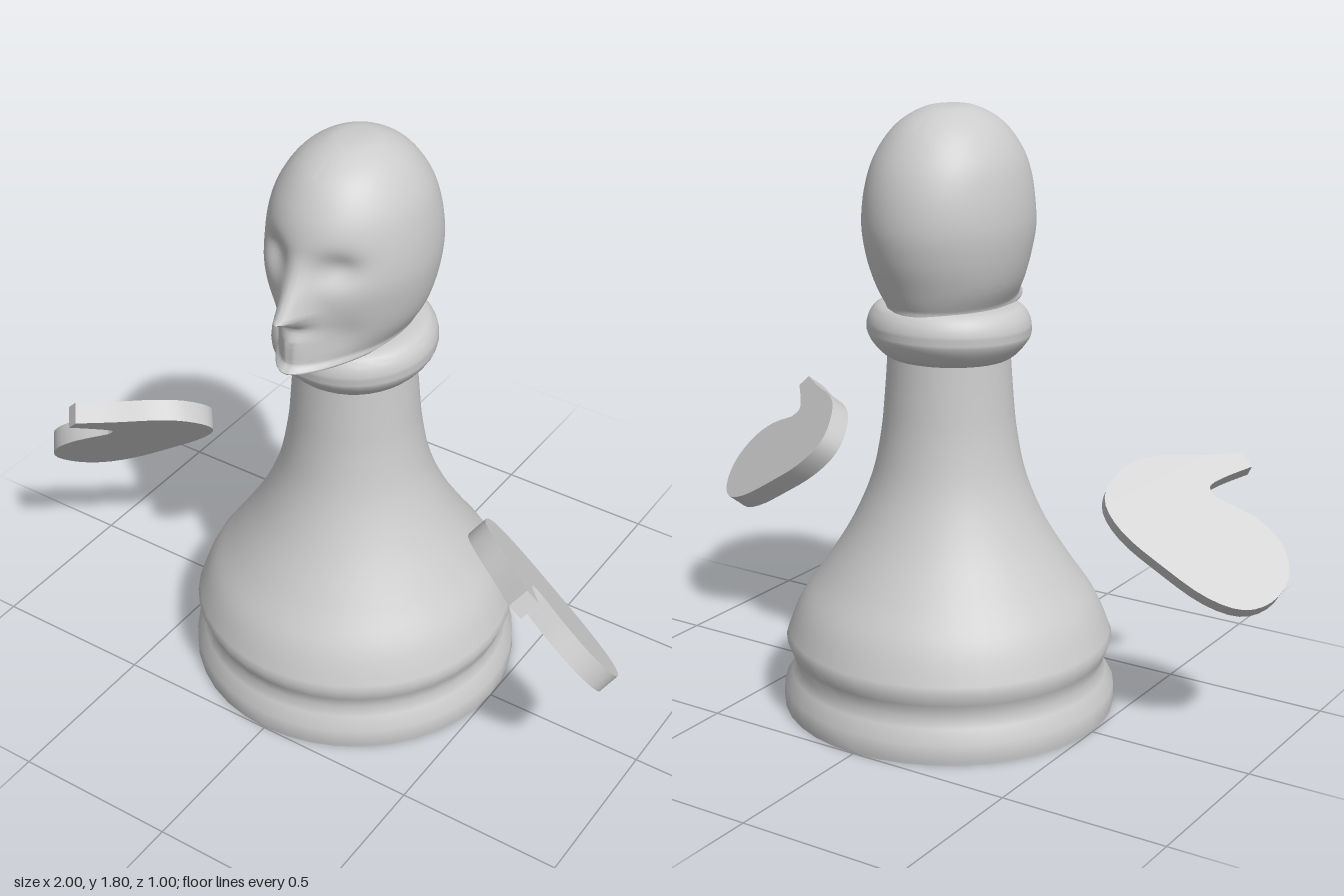
import * as THREE from 'three';
import { toCreasedNormals } from 'three/addons/utils/BufferGeometryUtils.js';

const material = new THREE.MeshStandardMaterial({ color: 0xcccccc, roughness: 0.8 });

function part(name, geometry, crease) {
  const mesh = new THREE.Mesh(toCreasedNormals(geometry, crease), material);
  mesh.name = name;
  return mesh;
}

const points2 = (list) => list.map(([x, y]) => new THREE.Vector2(x, y));

// Flared pawn body with a stepped foot
function makeBody() {
  const flare = new THREE.SplineCurve(points2([
    [0.49, 0.21], [0.445, 0.32], [0.37, 0.43], [0.29, 0.56], [0.23, 0.7], [0.2, 0.84], [0.187, 0.97], [0.178, 1.1],
  ])).getPoints(28);
  const foot = points2([[0, 0], [0.498, 0], [0.5, 0.01], [0.498, 0.06], [0.475, 0.1], [0.462, 0.13], [0.475, 0.17]]);
  return part('body', new THREE.LatheGeometry([...foot, ...flare], 40), 0.9);
}

// Rounded neck ring, tipped slightly forward
function makeCollar() {
  const rim = new THREE.SplineCurve(points2([
    [0.17, -0.085], [0.2, -0.065], [0.232, -0.025], [0.24, 0.01], [0.228, 0.05], [0.195, 0.075], [0.1, 0.078], [0, 0.078],
  ])).getPoints(28);
  const collar = part('collar', new THREE.LatheGeometry(rim, 40), 0.9);
  collar.position.y = 1.15;
  collar.rotation.x = 0.04;
  return collar;
}

// Depth added to the front of the head: nose, eye sockets, cheeks and mouth
function faceRelief(x, y) {
  const bump = (d, s) => Math.exp(-((d / s) ** 2));
  const ax = Math.abs(x);
  let nose = 0;
  if (y >= 1.39) nose = 0.095 * Math.max(0, (1.56 - y) / 0.17) ** 1.5;
  else nose = 0.015 + 0.08 * Math.max(0, (y - 1.345) / 0.045);
  if (y < 1.3) nose *= Math.max(0, (y - 1.21) / 0.09);
  return nose * bump(x, 0.042)
    - 0.035 * bump(ax - 0.1, 0.055) * bump(y - 1.52, 0.045)
    - 0.018 * bump(ax - 0.11, 0.05) * bump(y - 1.31, 0.06)
    - 0.008 * bump(x, 0.06) * bump(y - 1.335, 0.02);
}

// Head lofted from rings: height, half width, front reach, back reach
function makeHead() {
  const rows = [
    [1.797, 0, 0, 0], [1.787, 0.07, 0.09, 0.08], [1.74, 0.145, 0.18, 0.165], [1.66, 0.2, 0.243, 0.23],
    [1.57, 0.226, 0.275, 0.267], [1.47, 0.235, 0.287, 0.28], [1.38, 0.225, 0.295, 0.267], [1.3, 0.203, 0.313, 0.24],
    [1.24, 0.17, 0.325, 0.215], [1.21, 0.145, 0.327, 0.19], [1.205, 0, 0, 0],
  ];
  const heights = new THREE.CatmullRomCurve3(rows.map((r) => new THREE.Vector3(r[0], 0, 0)), false, 'catmullrom');
  const reaches = new THREE.CatmullRomCurve3(rows.map((r) => new THREE.Vector3(r[1], r[2], r[3])), false, 'catmullrom');
  const rings = 80, sides = 96, positions = [], index = [];
  for (let i = 0; i <= rings; i++) {
    const y = heights.getPoint(i / rings).x;
    const r = reaches.getPoint(i / rings);
    const pinch = 0.3 * THREE.MathUtils.smoothstep(1.47 - y, 0, 0.22);
    for (let j = 0; j < sides; j++) {
      const a = (j / sides) * Math.PI * 2;
      const c = Math.cos(a);
      const front = Math.max(0, c);
      const x = r.x * Math.sin(a) * (1 - pinch * front * front);
      let z = c * (c > 0 ? r.y : r.z);
      if (y > 1.207) z += faceRelief(x, y) * THREE.MathUtils.smoothstep(front, 0.1, 0.6);
      positions.push(x, y, z);
      if (i < rings) {
        const p = i * sides + j, q = i * sides + ((j + 1) % sides);
        index.push(p, p + sides, q, q, p + sides, q + sides);
      }
    }
  }
  const geometry = new THREE.BufferGeometry();
  geometry.setAttribute('position', new THREE.Float32BufferAttribute(positions, 3));
  geometry.setIndex(index);
  return part('head', geometry, 1.0);
}

// Flat mitten hand: outline along the fingers (x) and toward the thumb (y)
function makeHand(side) {
  const shape = new THREE.Shape();
  shape.moveTo(0.255, 0.265);
  shape.splineThru(points2([[0.205, 0.185], [0.19, 0.14], [0.225, 0.125]]));
  shape.splineThru(points2([
    [0.35, 0.14], [0.45, 0.115], [0.515, 0.045], [0.515, -0.045], [0.46, -0.115], [0.35, -0.145], [0.2, -0.14],
    [0.07, -0.125], [-0.02, -0.085], [-0.05, -0.02], [-0.03, 0.075], [0.03, 0.145], [0.12, 0.21], [0.21, 0.285],
  ]));
  shape.closePath();
  const geometry = new THREE.ExtrudeGeometry(shape, { depth: 0.065, bevelEnabled: false, curveSegments: 3 });
  geometry.translate(0, 0, side > 0 ? -0.055 : -0.01);
  const along = new THREE.Vector3(0.86 * side, -0.48, 0.18).normalize();
  const thumb = new THREE.Vector3(0.19 * side, 0.62, 0.76);
  const normal = along.clone().cross(thumb).normalize();
  thumb.crossVectors(normal, along);
  geometry.applyMatrix4(new THREE.Matrix4().makeBasis(along, thumb, normal).setPosition(0.52 * side, 0.7, 0.13));
  return part(side > 0 ? 'leftHand' : 'rightHand', geometry, 0.6);
}

export function createModel() {
  const group = new THREE.Group();
  group.name = 'pawnFigure';
  group.add(makeBody(), makeCollar(), makeHead(), makeHand(1), makeHand(-1));
  return group;
}
